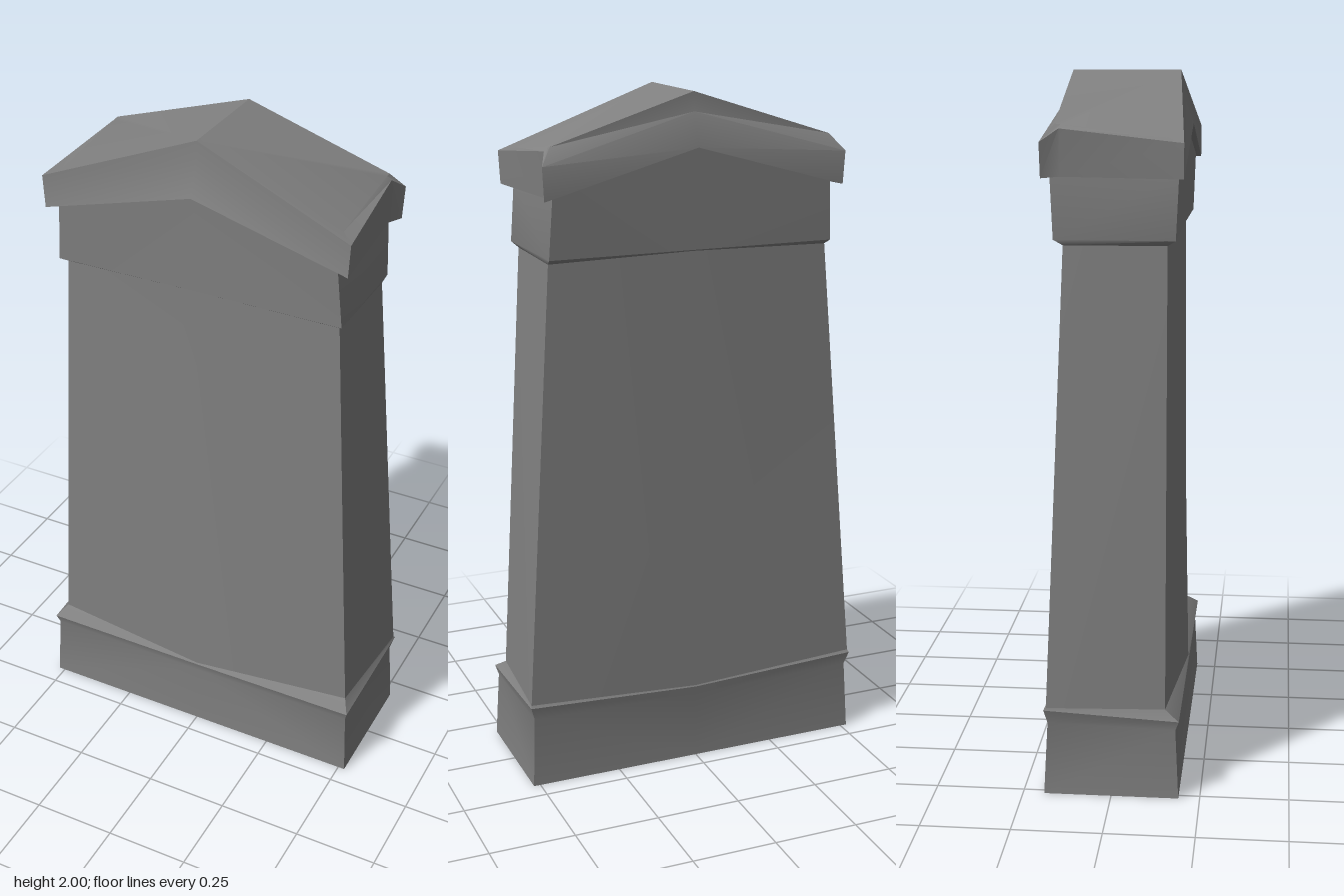
import * as THREE from 'three';
import { toCreasedNormals } from 'three/addons/utils/BufferGeometryUtils.js';

// One section, mirrored in x: corner = [half width, y, z], mid = [y, z].
// An optional notch point sits on each side between front and back corners.
function ring(frontCorner, frontMid, backCorner, backMid, notch) {
  const mirror = ([x, y, z]) => [-x, y, z];
  const side = notch ? [notch] : [];
  return [
    frontCorner, [0, ...frontMid], mirror(frontCorner), ...side.map(mirror),
    mirror(backCorner), [0, ...backMid], backCorner, ...side,
  ];
}

// Skin a stack of sections; gabled closes the last one with two roof slopes.
function loft(name, rings, material, gabled = false) {
  const n = rings[0].length;
  const index = [];
  for (let i = 0; i < rings.length - 1; i++) {
    for (let j = 0; j < n; j++) {
      const a = i * n + j, b = i * n + (j + 1) % n;
      const c = b + n, d = a + n;
      // mirror the diagonal so left and right halves match
      if (j >= 1 && j <= n / 2) index.push(a, d, b, d, c, b);
      else index.push(a, d, c, a, c, b);
    }
  }
  if (gabled) {
    // fan from the front end of the ridge
    const top = (rings.length - 1) * n;
    for (let k = 2; k < n; k++) index.push(top + 1, top + (k + 1) % n, top + k);
  }
  const geometry = new THREE.BufferGeometry();
  geometry.setAttribute('position', new THREE.Float32BufferAttribute(rings.flat(2), 3));
  geometry.setIndex(index);
  const mesh = new THREE.Mesh(toCreasedNormals(geometry, 0.5), material);
  mesh.name = name;
  return mesh;
}

export function createModel() {
  const stone = new THREE.MeshStandardMaterial({ color: 0x808080, side: THREE.DoubleSide });

  // Sections from the ground upwards
  const ground = ring([0.52, 0, 0.19], [0, 0.19], [0.52, 0, -0.19], [0, -0.19]);
  const groove = ring([0.51, 0.2, 0.18], [0.2, 0.185], [0.51, 0.21, -0.18], [0.2, -0.185]);
  const lip = ring([0.518, 0.228, 0.19], [0.226, 0.19], [0.522, 0.25, -0.19], [0.226, -0.188]);
  const shaftFoot = ring([0.495, 0.255, 0.15], [0.23, 0.187], [0.519, 0.257, -0.183], [0.23, -0.186]);
  const shaftTop = ring([0.42, 1.545, 0.145], [1.557, 0.16], [0.425, 1.545, -0.137], [1.557, -0.16]);
  const friezeFoot = ring([0.435, 1.56, 0.168], [1.56, 0.165], [0.43, 1.56, -0.163], [1.56, -0.162]);
  const friezeTop = ring([0.42, 1.735, 0.175], [1.85, 0.17], [0.42, 1.735, -0.172], [1.85, -0.17]);

  // Cap sections, with the side eaves notched in front of the back corners
  const capFoot = ring([0.42, 1.735, 0.175], [1.85, 0.17], [0.42, 1.735, -0.172], [1.85, -0.17],
    [0.42, 1.735, -0.14]);
  const eaveFoot = ring([0.455, 1.725, 0.19], [1.85, 0.19], [0.45, 1.725, -0.193], [1.85, -0.193],
    [0.43, 1.728, -0.145]);
  const eaveTop = ring([0.46, 1.82, 0.19], [1.945, 0.157], [0.455, 1.82, -0.195], [1.945, -0.16],
    [0.432, 1.855, -0.145]);
  const roofEdge = ring([0.42, 1.832, 0.147], [2, 0.153], [0.42, 1.867, -0.157], [2, -0.157],
    [0.42, 1.865, -0.14]);

  const group = new THREE.Group();
  group.name = 'stonePillar';
  group.add(
    loft('base', [ground, groove, lip, shaftFoot], stone), // hollow underneath
    loft('shaft', [shaftFoot, shaftTop], stone),
    loft('frieze', [shaftTop, friezeFoot, friezeTop], stone),
    loft('gabledCap', [capFoot, eaveFoot, eaveTop, roofEdge], stone, true),
  );
  return group;
}
